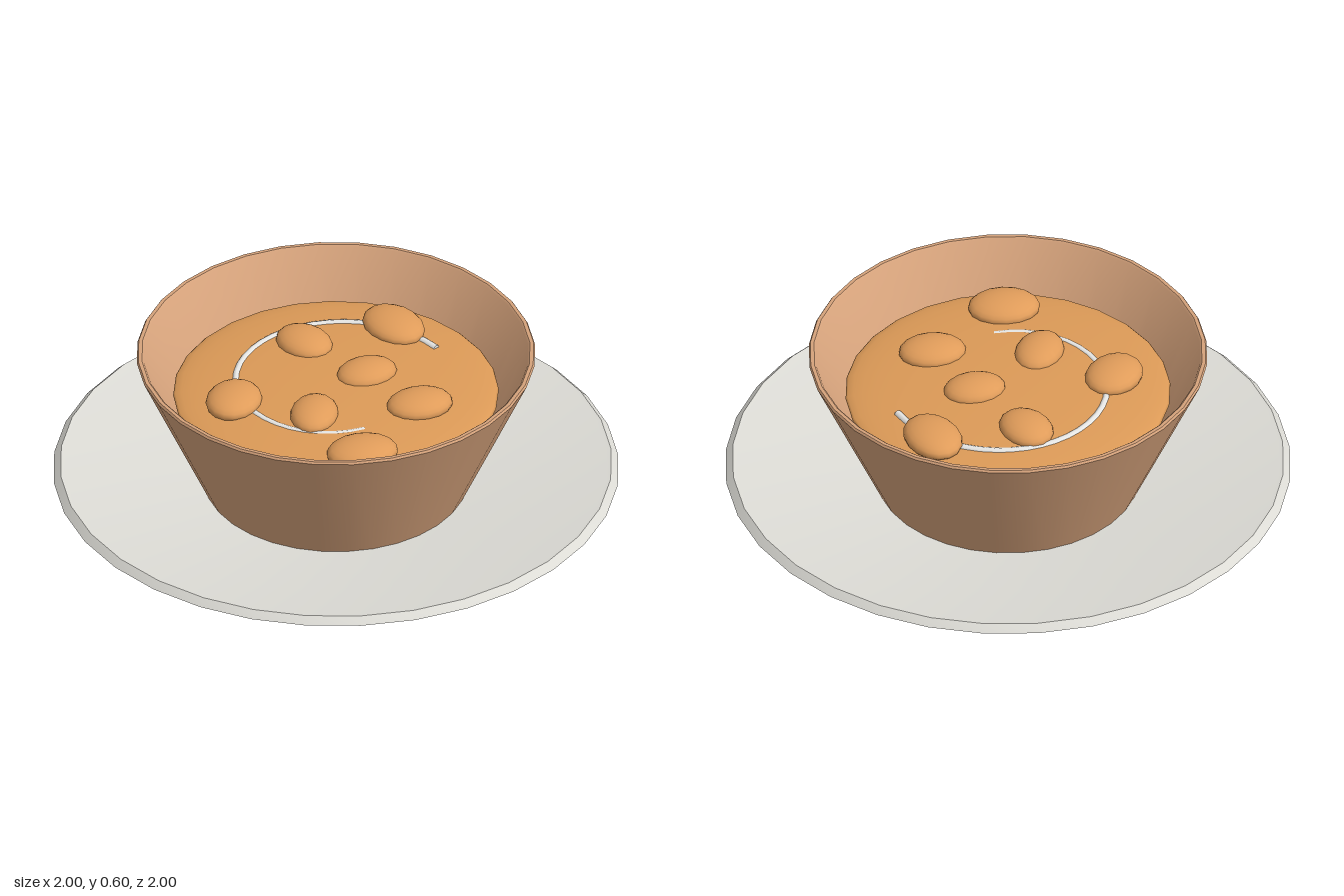
import * as THREE from 'three';
import { toCreasedNormals } from 'three/addons/utils/BufferGeometryUtils.js';

function material(name, color) {
  const m = new THREE.MeshStandardMaterial({ color });
  m.name = name;
  return m;
}

// Turns an [r, y] profile around the y axis, keeping hard edges sharp.
function turned(profile) {
  const points = profile.map(([r, y]) => new THREE.Vector2(r, y));
  return toCreasedNormals(new THREE.LatheGeometry(points, 32), 0.55);
}

export function createModel() {
  const model = new THREE.Group();
  model.name = 'soupBowlOnPlate';

  const plateGrey = material('plate grey', 0xdddcd6);
  const clay = material('clay brown', 0xd5a27b);
  const broth = material('broth orange', 0xdc9a57);
  const dumplingOrange = material('dumpling orange', 0xe09c5a);
  const cream = material('cream white', 0xeeeeec);

  function add(name, geometry, mat, parent = model) {
    const mesh = new THREE.Mesh(geometry, mat);
    mesh.name = name;
    parent.add(mesh);
    return mesh;
  }

  // Plate: flat foot, flared underside, thin lip and shallow conical top
  add('plate', turned([
    [0, 0], [0.715, 0], [0.745, 0.015], [1, 0.105],
    [0.975, 0.13], [0.96, 0.127], [0.46, 0.064], [0, 0.02],
  ]), plateGrey);

  // Bowl: tapered wall with a narrow rim and a hollow inside
  add('bowl', turned([
    [0, 0.05], [0.46, 0.05], [0.705, 0.592], [0.7, 0.6],
    [0.687, 0.6], [0.68, 0.594], [0.46, 0.1], [0, 0.1],
  ]), clay);

  // Soup: a flattened ball filling the bowl
  const soup = add('soup', new THREE.SphereGeometry(0.575, 28, 20), broth);
  soup.scale.y = 0.045 / 0.575;
  soup.position.y = 0.43;

  // Dumplings: x, z, half length, half width, turn in degrees
  const dumplings = new THREE.Group();
  dumplings.name = 'dumplings';
  model.add(dumplings);
  const ball = new THREE.SphereGeometry(1, 16, 12);
  const layout = [
    [0.02, -0.28, 0.112, 0.09, -75],
    [0.35, -0.23, 0.13, 0.098, -80],
    [-0.37, -0.07, 0.12, 0.098, 45],
    [-0.16, 0.14, 0.115, 0.085, 55],
    [0.125, -0.005, 0.112, 0.087, 0],
    [0.2, 0.255, 0.12, 0.093, -8],
    [-0.12, 0.43, 0.128, 0.1, -12],
  ];
  for (const [x, z, length, width, turn] of layout) {
    const dumpling = add('dumpling', ball, dumplingOrange, dumplings);
    dumpling.position.set(x, 0.47, z);
    dumpling.scale.set(length, 0.046, width);
    dumpling.rotation.y = THREE.MathUtils.degToRad(turn);
  }

  // Cream swirl: a spiral strand sinking into the soup towards its inner end
  const path = [];
  for (let i = 0; i <= 18; i++) {
    const t = i / 18;
    const angle = THREE.MathUtils.degToRad(6 + 256 * t);
    const r = 0.425 - 0.125 * t;
    path.push(new THREE.Vector3(Math.cos(angle) * r, 0.457, -Math.sin(angle) * r));
  }
  const curve = new THREE.CatmullRomCurve3(path);
  add('creamSwirl', new THREE.TubeGeometry(curve, 30, 0.014, 8), cream);
  const end = add('creamSwirlEnd', new THREE.CircleGeometry(0.014, 8), cream);
  end.position.copy(path[0]);
  end.lookAt(path[0].clone().sub(curve.getTangent(0)));

  return model;
}
